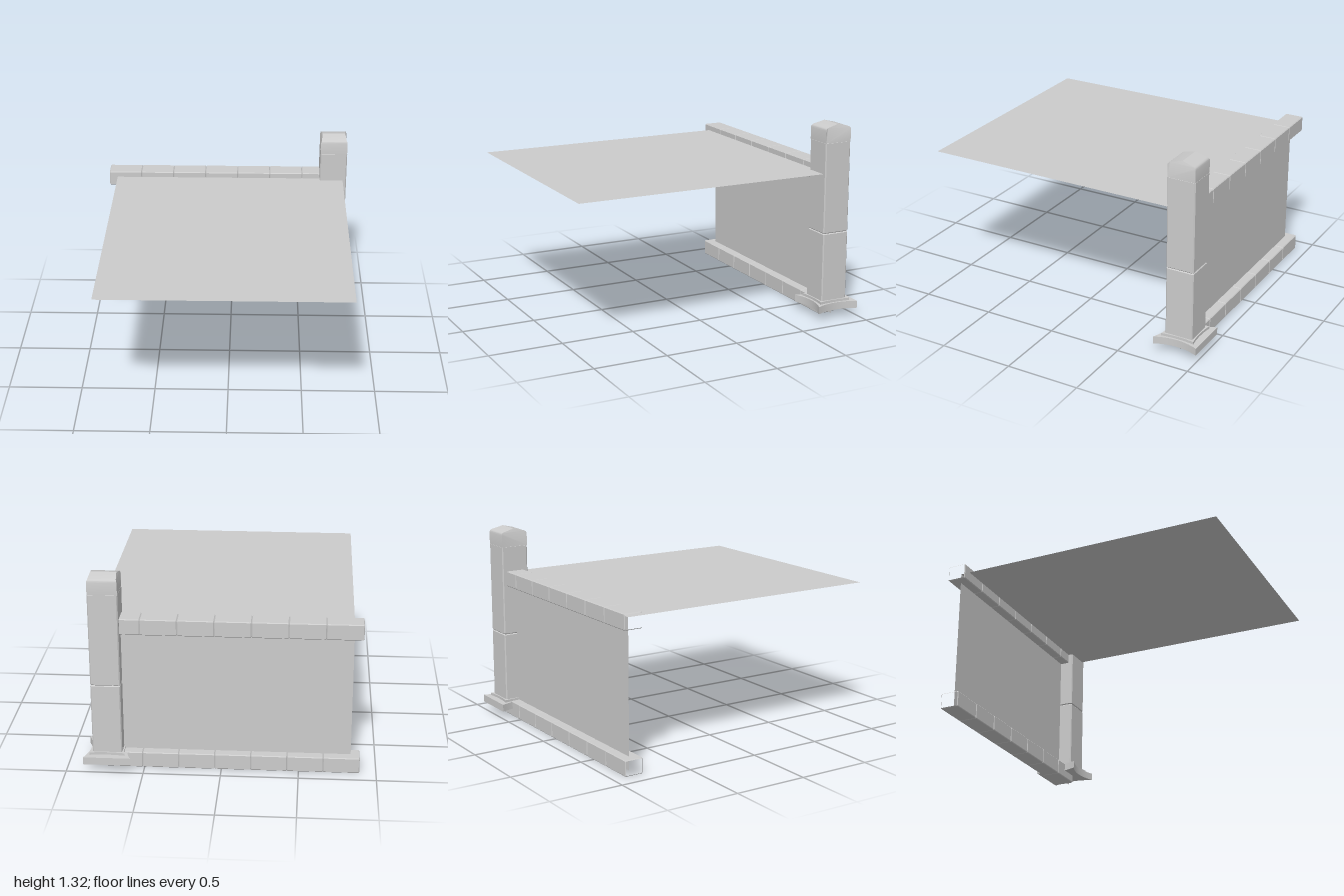
import * as THREE from 'three';
import { toCreasedNormals } from 'three/addons/utils/BufferGeometryUtils.js';

const PX = 0.735, PZ = -0.847; // post centre, also the rail line in z

const solid = () => new THREE.MeshStandardMaterial({ color: 0xcccccc });
const thin = () => new THREE.MeshStandardMaterial({ color: 0xcccccc, side: THREE.DoubleSide });

function add(parent, name, geometry, material = solid()) {
  const mesh = new THREE.Mesh(geometry, material);
  mesh.name = name;
  parent.add(mesh);
  return mesh;
}

// Open tube with a chamfered rectangular section; stations are [position, inset].
// Axis 'x' uses (y, z) as section axes, axis 'y' uses (z, x).
function tube(axis, hu, hv, chamfer, stations) {
  const pos = [], index = [];
  for (const [w, inset] of stations) {
    const u = hu - inset, v = hv - inset, c = chamfer;
    const ring = [[u, v - c], [u - c, v], [c - u, v], [-u, v - c],
      [-u, c - v], [c - u, -v], [u - c, -v], [u, c - v]];
    for (const [a, b] of ring) pos.push(...(axis === 'x' ? [w, a, b] : [b, w, a]));
  }
  for (let k = 0; k < stations.length - 1; k++) {
    for (let i = 0; i < 8; i++) {
      const a = k * 8 + i, b = k * 8 + (i + 1) % 8;
      index.push(a, b, b + 8, a, b + 8, a + 8);
    }
  }
  const g = new THREE.BufferGeometry();
  g.setAttribute('position', new THREE.Float32BufferAttribute(pos, 3));
  g.setIndex(index);
  return toCreasedNormals(g, 0.5);
}

// Rail of seven equal hollow pieces with a small groove at each joint
function rail(name, y) {
  const group = new THREE.Group();
  group.name = name;
  const length = 0.234, e = 0.005;
  for (let i = 0; i < 7; i++) {
    const x = -0.893 + i * length;
    const g = tube('x', 0.0525, 0.0635, 0.005,
      [[x, e], [x + e, 0], [x + length - e, 0], [x + length, e]]);
    add(group, 'railPiece', g).position.set(0, y, PZ);
  }
  return group;
}

// Square slab with inward-curving sides; shape y points to the back
function slab(half, dip, height, straightBack) {
  const h = half, c = half - 2 * dip;
  const s = new THREE.Shape();
  s.moveTo(-h, -h);
  s.quadraticCurveTo(0, -c, h, -h);
  s.quadraticCurveTo(c, 0, h, h);
  if (straightBack) s.lineTo(-h, h);
  else s.quadraticCurveTo(0, c, -h, h);
  s.quadraticCurveTo(-c, 0, -h, -h);
  const g = new THREE.ExtrudeGeometry(s, { depth: height, bevelEnabled: false, curveSegments: 10 });
  g.rotateX(-Math.PI / 2);
  return toCreasedNormals(g, 0.5);
}

// Cap with a low ridge along x and sloped ends
function capGeometry() {
  const s = new THREE.Shape();
  s.moveTo(-0.095, 0);
  s.lineTo(0.095, 0);
  s.lineTo(0.095, 0.083);
  s.quadraticCurveTo(0.094, 0.097, 0.08, 0.102);
  s.lineTo(0, 0.122);
  s.lineTo(-0.08, 0.102);
  s.quadraticCurveTo(-0.094, 0.097, -0.095, 0.083);
  s.closePath();
  const g = new THREE.ExtrudeGeometry(s, { depth: 0.19, bevelEnabled: false, curveSegments: 4 });
  g.translate(0, 0, -0.095);
  const p = g.attributes.position;
  for (let i = 0; i < p.count; i++) {
    const t = Math.min(1, Math.max(0, (p.getY(i) - 0.085) / 0.035));
    p.setZ(i, p.getZ(i) * (1 - 0.14 * t));
  }
  g.rotateY(Math.PI / 2);
  return toCreasedNormals(g, 0.4);
}

export function createModel() {
  const model = new THREE.Group();
  model.name = 'wallSection';

  // Rails
  model.add(rail('bottomRail', 0.0545), rail('topRail', 0.982));

  // Wall panel between the rails
  const width = 1.64, cx = -0.015;
  add(model, 'wallPanel', new THREE.PlaneGeometry(width, 0.98), thin())
    .position.set(cx, 0.505, PZ);

  // Flat sheet reaching forward from the top rail
  const sheet = new THREE.PlaneGeometry(width, 1 - PZ).rotateX(-Math.PI / 2);
  add(model, 'sheet', sheet, thin()).position.set(cx, 0.995, (1 + PZ) / 2);

  // Corner post: foot, collar, two shafts and cap
  const post = new THREE.Group();
  post.name = 'cornerPost';
  post.position.set(PX, 0, PZ);
  model.add(post);
  add(post, 'footPlate', slab(0.152, 0.035, 0.05, true)).position.y = 0.055;
  add(post, 'collar', slab(0.114, 0.01, 0.017, false)).position.y = 0.105;
  const e = 0.006;
  add(post, 'lowerShaft', tube('y', 0.096, 0.096, 0.007,
    [[0.11, 0], [0.59 - e, 0], [0.59, e]]));
  add(post, 'upperShaft', tube('y', 0.096, 0.096, 0.007,
    [[0.59, e], [0.59 + e, 0], [1.203, 0], [1.206, 0.003]]));
  add(post, 'cap', capGeometry()).position.y = 1.204;

  return model;
}
